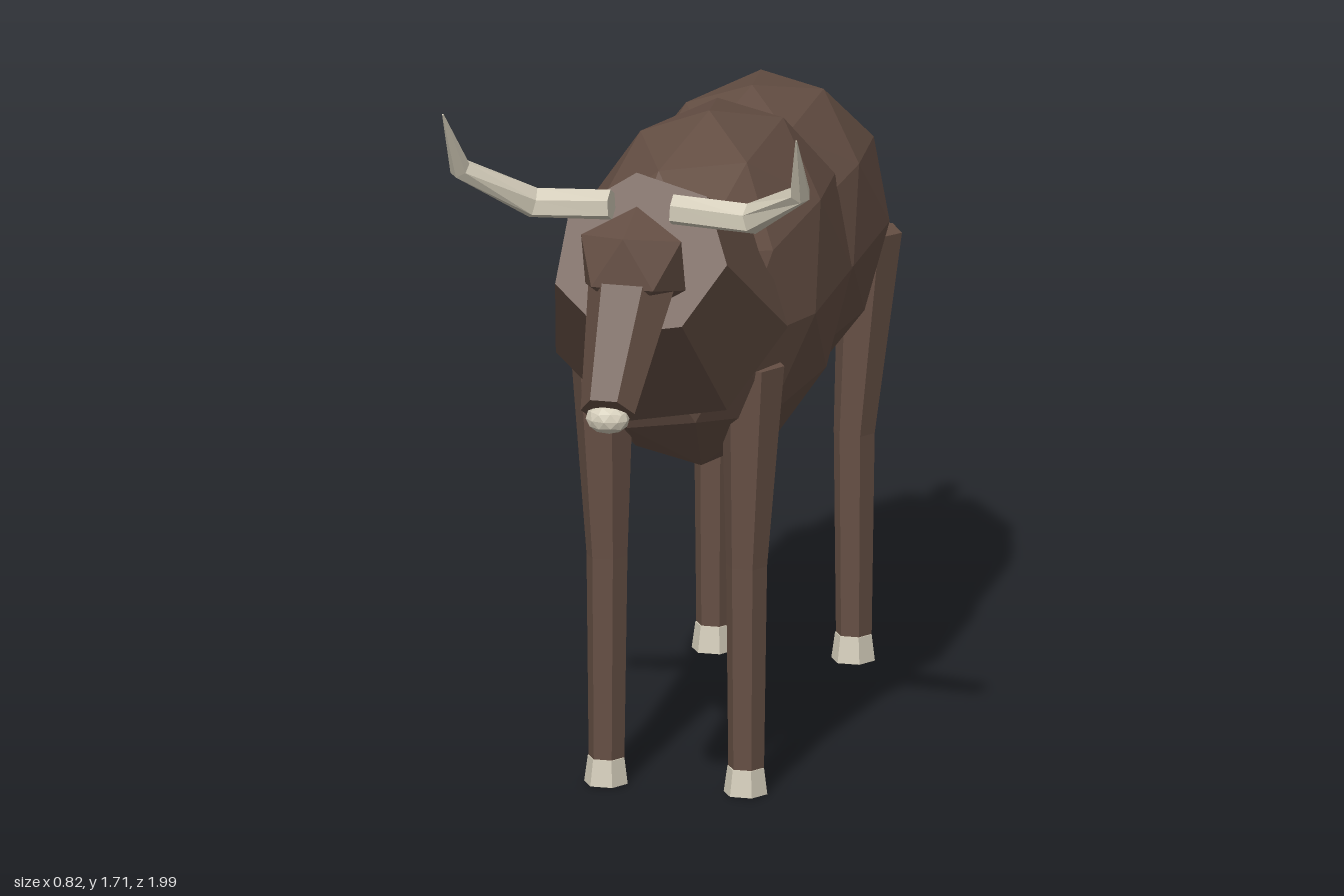
import * as THREE from 'three';

const deg = Math.PI / 180;

// Faceted normals for the low-poly look
function facet(geo) {
  const g = geo.index ? geo.toNonIndexed() : geo;
  g.computeVertexNormals();
  return g;
}

// Capped, polygonal limb through points [x, y, z, radius]
function limb(points, sides, phase = 0) {
  const centres = points.map(p => new THREE.Vector3(p[0], p[1], p[2]));
  const ref = new THREE.Vector3(0, 0, 1);
  const last = points.length - 1;
  const pos = [], index = [];
  centres.forEach((c, i) => {
    const t = new THREE.Vector3();
    if (i > 0) t.add(c.clone().sub(centres[i - 1]).normalize());
    if (i < last) t.add(centres[i + 1].clone().sub(c).normalize());
    t.normalize();
    const u = ref.clone().cross(t).normalize();
    const v = t.clone().cross(u);
    for (let j = 0; j < sides; j++) {
      const a = phase + (j / sides) * Math.PI * 2;
      const p = c.clone()
        .addScaledVector(u, Math.cos(a) * points[i][3])
        .addScaledVector(v, Math.sin(a) * points[i][3]);
      pos.push(p.x, p.y, p.z);
    }
  });
  const start = pos.length / 3, end = start + 1;
  pos.push(...centres[0].toArray(), ...centres[last].toArray());
  for (let j = 0; j < sides; j++) {
    const k = (j + 1) % sides;
    for (let i = 0; i < last; i++) {
      const a = i * sides + j, b = i * sides + k;
      index.push(a, b, b + sides, a, b + sides, a + sides);
    }
    index.push(start, k, j, end, last * sides + j, last * sides + k);
  }
  const g = new THREE.BufferGeometry();
  g.setAttribute('position', new THREE.Float32BufferAttribute(pos, 3));
  g.setIndex(index);
  return facet(g);
}

// Faceted ball with a vertex at the top, scaled and placed
function ball(detail, scale, at, tilt = 0, turn = 0) {
  const g = new THREE.IcosahedronGeometry(1, detail);
  g.rotateX(-Math.atan((1 + Math.sqrt(5)) / 2));
  g.rotateY(-Math.PI / 2 + turn);
  g.scale(...scale);
  g.rotateX(tilt);
  g.translate(...at);
  return facet(g);
}

export function createModel() {
  const hide = new THREE.MeshStandardMaterial({ color: 0x654f44 });
  hide.name = 'brown hide';
  const horn = new THREE.MeshStandardMaterial({ color: 0xd3ccb9 });
  horn.name = 'pale horn';

  const model = new THREE.Group();
  model.name = 'longhorn';
  const add = (name, geo, mat) => {
    const m = new THREE.Mesh(geo, mat);
    m.name = name;
    model.add(m);
  };

  // Body
  add('chest', ball(1, [0.3, 0.4, 0.55], [0, 1.085, 0]), hide);
  add('hindquarters', ball(1, [0.288, 0.35, 0.545], [0, 1.07, -0.4]), hide);
  add('udder', ball(1, [0.06, 0.05, 0.08], [0, 0.765, -0.2]), horn);

  // Neck and head
  add('neck', limb([[0, 1.12, 0.36, 0.27], [0, 1.345, 0.645, 0.2]], 7, -79 * deg), hide);
  add('skull', ball(0, [0.135, 0.125, 0.13], [0, 1.35, 0.71], -15 * deg, Math.PI / 2), hide);
  add('muzzle', limb([[0, 1.31, 0.72, 0.1], [0, 1.075, 0.95, 0.062]], 6), hide);
  add('nose', ball(1, [0.05, 0.035, 0.035], [0, 1.06, 0.95]), horn);

  // Mirrored parts
  for (const [side, s] of [['left', 1], ['right', -1]]) {
    add(side + 'Horn', limb([
      [0.07 * s, 1.455, 0.63, 0.035],
      [0.25 * s, 1.445, 0.625, 0.036],
      [0.39 * s, 1.55, 0.74, 0.025],
      [0.405 * s, 1.705, 0.838, 0.002],
    ], 6), horn);

    for (const [end, topX, topZ, footZ] of [['Front', 0.172, 0.297, 0.308], ['Hind', 0.192, -0.72, -0.697]]) {
      add(side + end + 'Leg', limb([
        [topX * s, 1.0, topZ, 0.073],
        [0.16 * s, 0.53, footZ - 0.004, 0.047],
        [0.16 * s, 0.055, footZ, 0.041],
      ], 6), hide);
      add(side + end + 'Hoof', limb([
        [0.16 * s, 0.06, footZ + 0.004, 0.042],
        [0.16 * s, 0, footZ + 0.006, 0.05],
      ], 6), horn);
    }
  }

  // Tail
  add('tail', limb([
    [0, 1.225, -0.93, 0.027],
    [0, 0.94, -0.957, 0.028],
    [0, 0.635, -0.998, 0.002],
  ], 6), hide);

  return model;
}
